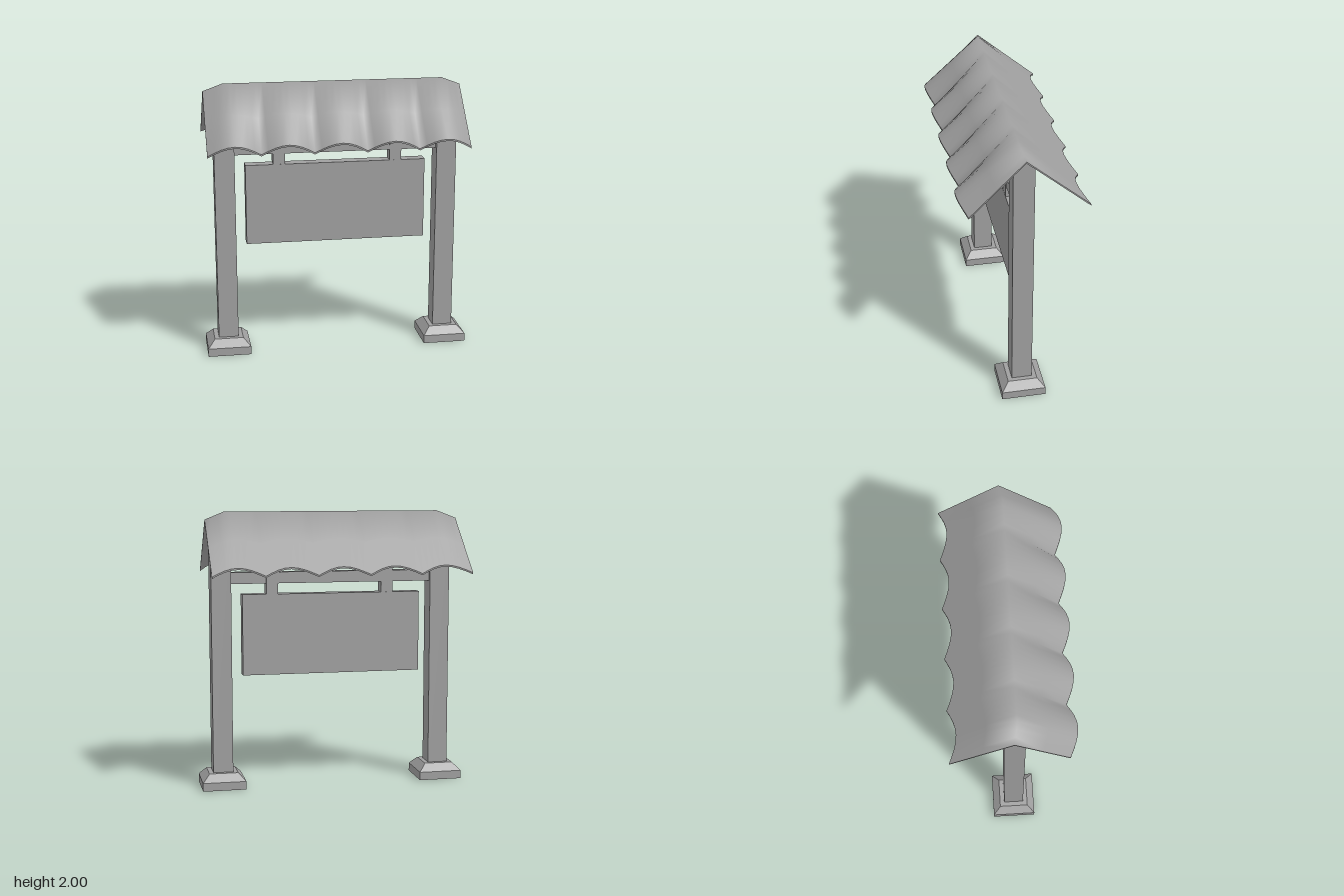
import * as THREE from 'three';
import { mergeGeometries } from 'three/addons/utils/BufferGeometryUtils.js';

const grey = new THREE.MeshStandardMaterial({ color: 0xa0a0a0 });
grey.name = 'grey';

const Z = 0.007; // depth centre of the frame

function add(parent, name, geometry) {
  const mesh = new THREE.Mesh(geometry, grey);
  mesh.name = name;
  parent.add(mesh);
  return mesh;
}

// Box given by its x and y ranges and its depth
function slab(parent, name, x0, x1, y0, y1, depth) {
  const mesh = add(parent, name, new THREE.BoxGeometry(x1 - x0, y1 - y0, depth));
  mesh.position.set((x0 + x1) / 2, (y0 + y1) / 2, Z);
}

// Smooth grid from point(u, v); the faces look along dv x du
function sheet(point, nu, nv) {
  const positions = [], index = [];
  for (let j = 0; j <= nv; j++)
    for (let i = 0; i <= nu; i++) positions.push(...point(i / nu, j / nv));
  for (let j = 0; j < nv; j++)
    for (let i = 0; i < nu; i++) {
      const a = j * (nu + 1) + i, b = a + nu + 1;
      index.push(a, b, a + 1, b, b + 1, a + 1);
    }
  const g = new THREE.BufferGeometry();
  g.setAttribute('position', new THREE.Float32BufferAttribute(positions, 3));
  g.setIndex(index);
  g.computeVertexNormals();
  return g;
}

// Roof section as [z, y] in the troughs and on the crests of the waves
const trough = { back: [-0.437, 1.572], ridge: [0, 1.945], front: [0.377, 1.562] };
const crest = { back: [-0.38, 1.625], ridge: [0.022, 2], front: [0.437, 1.637] };
const WAVES = 5, STEPS = 8, THICK = 0.012;

// u runs along the roof, v from back eave over the ridge to front eave
function roofPoint(u, v, drop = 0) {
  const x = -0.948 + 1.86 * u;
  const wave = Math.abs(Math.sin(Math.PI * WAVES * u));
  const hip = Math.min(1, Math.min(u, 1 - u) / 0.075);
  const side = v < 0.5 ? 'back' : 'front';
  const t = Math.abs(v - 0.5) * 2;
  const [z, y] = [0, 1].map((k) => {
    const ridge = THREE.MathUtils.lerp(trough.ridge[k], crest.ridge[k], hip);
    const eave = THREE.MathUtils.lerp(trough[side][k], crest[side][k], wave);
    return THREE.MathUtils.lerp(ridge, eave, t);
  });
  return [x, y - drop, z];
}

function roofGeometry() {
  const n = WAVES * STEPS;
  return mergeGeometries([
    sheet((u, v) => roofPoint(u, v), n, 4), // upper skin
    sheet((u, v) => roofPoint(1 - u, v, THICK), n, 4), // underside
    sheet((u, v) => roofPoint(u, 1, THICK * v), n, 1), // front eave
    sheet((u, v) => roofPoint(u, 0, THICK * (1 - v)), n, 1), // back eave
    sheet((u, v) => roofPoint(1, u, THICK * (1 - v)), 4, 1), // end edges
    sheet((u, v) => roofPoint(0, u, THICK * v), 4, 1),
  ]);
}

// Square footing with a sloped upper half
function footing(parent, x) {
  const foot = new THREE.Group();
  foot.name = 'footing';
  foot.position.set(x, 0, Z);
  parent.add(foot);
  add(foot, 'footingBlock', new THREE.BoxGeometry(0.315, 0.06, 0.315)).position.y = 0.03;
  const slope = new THREE.CylinderGeometry(0.21 / Math.SQRT2, 0.315 / Math.SQRT2, 0.055, 4)
    .rotateY(Math.PI / 4).toNonIndexed();
  slope.computeVertexNormals();
  add(foot, 'footingSlope', slope).position.y = 0.0875;
}

// Small triangular cap that carries the ridge
function gable(parent, x) {
  const shape = new THREE.Shape([
    new THREE.Vector2(-0.08, 1.875), new THREE.Vector2(0.065, 1.875), new THREE.Vector2(0, 1.932),
  ]);
  const g = new THREE.ExtrudeGeometry(shape, { depth: 0.145, bevelEnabled: false });
  g.rotateY(Math.PI / 2).translate(x - 0.0725, 0, 0);
  add(parent, 'postGable', g);
}

export function createModel() {
  const model = new THREE.Group();
  model.name = 'roofedSignboard';

  // Posts on footings
  for (const x of [-0.8125, 0.8075]) {
    footing(model, x);
    slab(model, 'post', x - 0.0725, x + 0.0725, 0.11, 1.875, 0.145);
    gable(model, x);
  }

  // Cross beams
  slab(model, 'lowerBeam', -0.745, 0.74, 1.485, 1.567, 0.08);
  slab(model, 'upperBeam', -0.745, 0.74, 1.775, 1.86, 0.08);

  // Hanging board and its straps
  slab(model, 'board', -0.662, 0.652, 0.82, 1.408, 0.092);
  for (const x of [-0.418, 0.434]) slab(model, 'strap', x - 0.043, x + 0.043, 1.4, 1.585, 0.09);

  add(model, 'wavyRoof', roofGeometry());
  return model;
}
